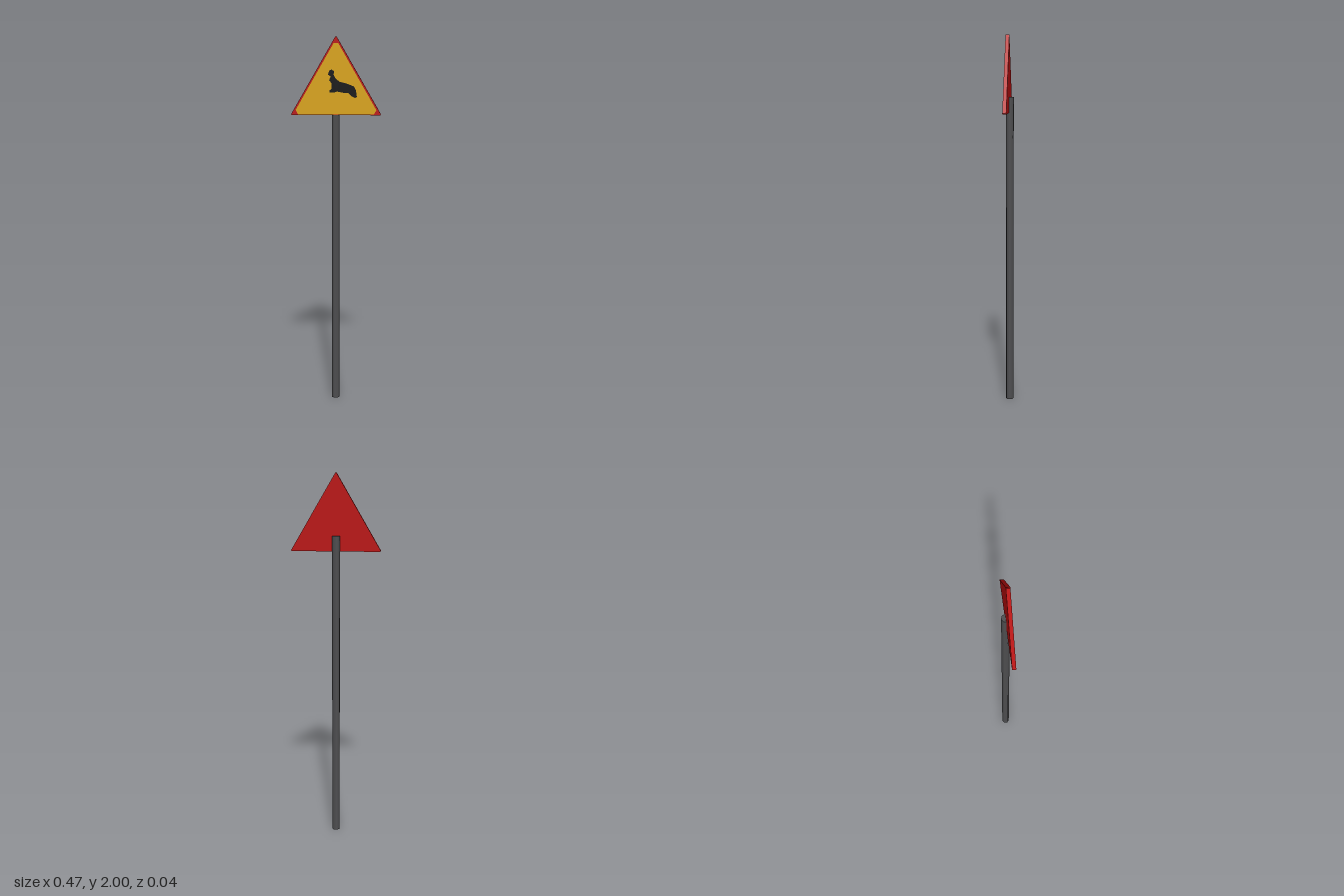
import * as THREE from 'three';

const material = (name, color) => {
  const m = new THREE.MeshStandardMaterial({ color });
  m.name = name;
  return m;
};

const shapeFrom = (points) => new THREE.Shape(points.map(([x, y]) => new THREE.Vector2(x, y)));

export function createModel() {
  const red = material('sign red', 0xb80c0c);
  const yellow = material('sign yellow', 0xd7a210);
  const black = material('symbol black', 0x0a0a0a);
  const grey = material('pole grey', 0x4e4e50);

  const group = new THREE.Group();
  group.name = 'warningSign';
  const add = (name, geometry, mat, x = 0, y = 0, z = 0) => {
    const mesh = new THREE.Mesh(geometry, mat);
    mesh.name = name;
    mesh.position.set(x, y, z);
    group.add(mesh);
  };

  // Seven-sided post, reaching a little way up behind the panel
  const poleHeight = 1.677;
  add('pole', new THREE.CylinderGeometry(0.0215, 0.0215, poleHeight, 7, 1, false, Math.PI / 2),
    grey, -0.002, poleHeight / 2, -0.002);

  // Triangular panel with barely blunted corners
  const panel = shapeFrom([
    [-0.233, 1.595], [0.233, 1.595], [0.236, 1.6],
    [0.003, 2], [-0.003, 2], [-0.236, 1.6],
  ]);
  add('panel', new THREE.ExtrudeGeometry(panel, { depth: 0.02, bevelEnabled: false }), red);

  // Yellow face, its cut corners leaving red tips
  const face = shapeFrom([
    [-0.2, 1.598], [0.2, 1.598], [0.212, 1.622],
    [0.012, 1.966], [-0.012, 1.966], [-0.212, 1.622],
  ]);
  add('yellowFace', new THREE.ShapeGeometry(face), yellow, 0, 0, 0.0205);

  // Animal silhouette: raised head at left, body sloping down to the right
  const animal = shapeFrom([
    [-0.035, 1.825], [-0.022, 1.832], [-0.01, 1.822], [-0.012, 1.805],
    [-0.002, 1.785], [0.02, 1.768], [0.055, 1.76], [0.095, 1.744],
    [0.104, 1.725], [0.11, 1.69], [0.1, 1.684], [0.082, 1.694],
    [0.065, 1.71], [0.035, 1.712], [0.005, 1.718], [-0.012, 1.712],
    [-0.034, 1.712], [-0.035, 1.722], [-0.024, 1.732], [-0.022, 1.76],
    [-0.036, 1.776], [-0.027, 1.795], [-0.042, 1.806],
  ]);
  add('animalSymbol', new THREE.ShapeGeometry(animal), black, 0, 0, 0.0212);

  return group;
}
